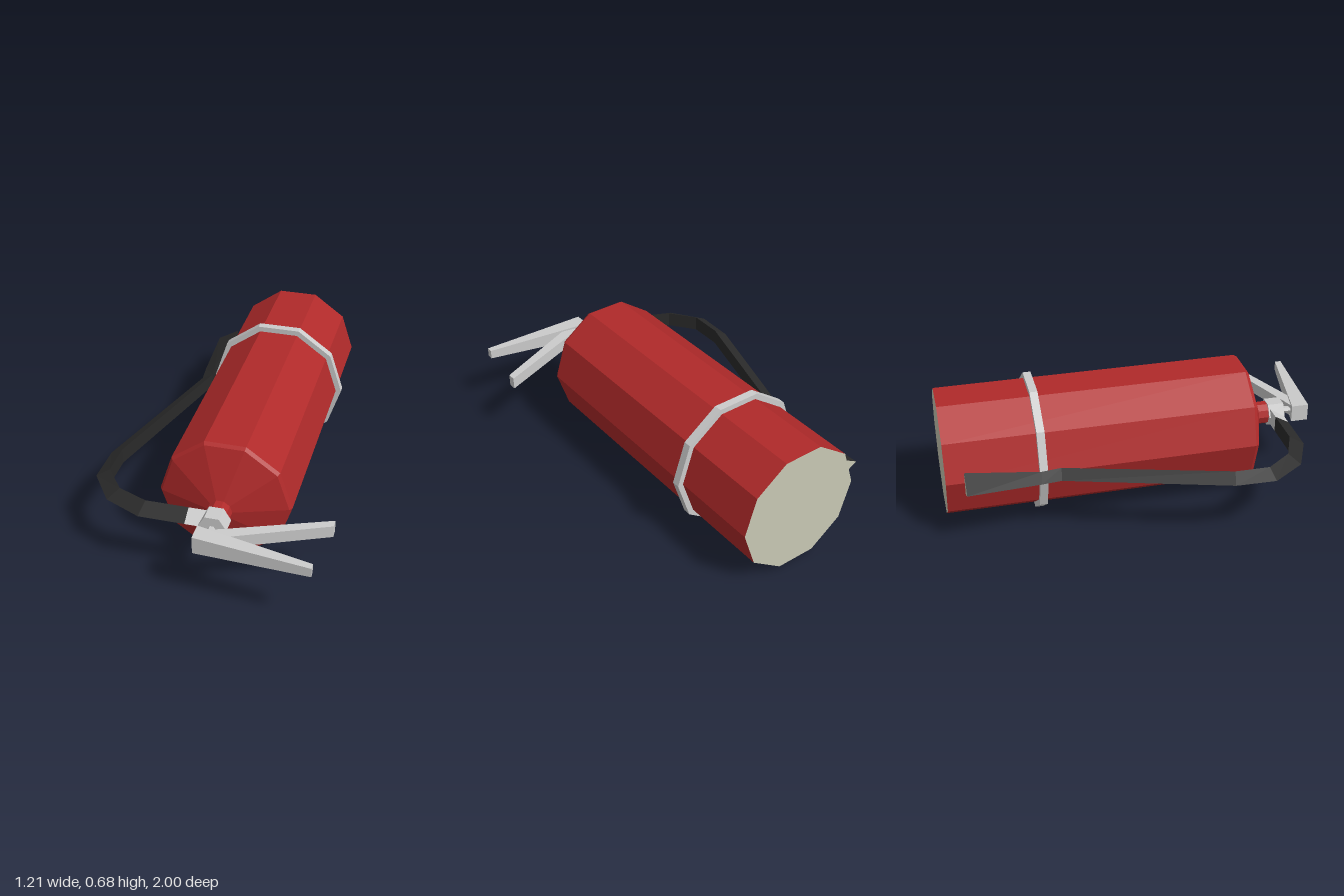
import * as THREE from 'three';

const AXIS_X = 0.055, AXIS_Y = 0.338;

const paint = (color) => new THREE.MeshStandardMaterial({ color, flatShading: true });

function addMesh(parent, name, geometry, material) {
  const mesh = new THREE.Mesh(geometry, material);
  mesh.name = name;
  parent.add(mesh);
  return mesh;
}

// Faceted surface of revolution about the bottle axis; profile is [radius, z]
function turned(profile, sides) {
  const points = profile.map(([r, z]) => new THREE.Vector2(r, z));
  return new THREE.LatheGeometry(points, sides, Math.PI / 2)
    .rotateX(Math.PI / 2)
    .translate(AXIS_X, AXIS_Y, 0);
}

// Skin over cross-sections whose corners run counter-clockwise about the path
function loft(rings, capStart = true, capEnd = true) {
  const n = rings[0].length, index = [];
  for (let i = 0; i < rings.length - 1; i++) {
    for (let j = 0; j < n; j++) {
      const k = (j + 1) % n;
      const a = i * n + j, b = i * n + k;
      index.push(a, b, a + n, b, b + n, a + n);
    }
  }
  const last = (rings.length - 1) * n;
  for (let j = 1; j < n - 1; j++) {
    if (capStart) index.push(0, j + 1, j);
    if (capEnd) index.push(last, last + j, last + j + 1);
  }
  const geometry = new THREE.BufferGeometry();
  geometry.setAttribute('position', new THREE.Float32BufferAttribute(rings.flat(2), 3));
  geometry.setIndex(index);
  const flat = geometry.toNonIndexed();
  flat.computeVertexNormals();
  return flat;
}

// Triangular hose section: ridge on the outer side, flat on the inner side
const hoseRing = ([ox, oz, ix, iz, h]) => [
  [ox, AXIS_Y, oz], [ix, AXIS_Y - h, iz], [ix, AXIS_Y + h, iz],
];

// Rectangular lever section at x, spanning z0 to z1
const leverRing = ([x, z0, z1, h]) => [
  [x, AXIS_Y - h, z0], [x, AXIS_Y + h, z0], [x, AXIS_Y + h, z1], [x, AXIS_Y - h, z1],
];

export function createModel() {
  const group = new THREE.Group();
  group.name = 'fireExtinguisher';
  const red = paint(0xb02a2a), black = paint(0x2a2a2a), grey = paint(0xcccccc);
  const beige = paint(0xc8c8b4);

  // Bottle with bevelled shoulder, cone and neck
  addMesh(group, 'bottle', turned([
    [0.326, -1], [0.326, 0.57], [0.314, 0.588], [0.06, 0.675], [0.06, 0.735],
  ], 10), red);
  addMesh(group, 'bottleBase', new THREE.CircleGeometry(0.326, 10)
    .rotateY(Math.PI).translate(AXIS_X, AXIS_Y, -1), beige);

  // Strap round the bottle
  addMesh(group, 'strap', turned([
    [0.32, -0.545], [0.355, -0.545], [0.355, -0.505], [0.32, -0.505],
  ], 10), grey);

  // Valve block and stem
  addMesh(group, 'valve', turned([
    [0, 0.73], [0.07, 0.73], [0.07, 0.815], [0, 0.815],
  ], 6), grey);
  addMesh(group, 'valveStem', turned([[0.018, 0.81], [0.018, 0.9]], 6), grey);

  // Hose: outer x, outer z, inner x, inner z, half height
  const joint = [-0.078, 0.812, -0.078, 0.738, 0.042];
  addMesh(group, 'hose', loft([
    [-0.39, -0.91, -0.28, -0.91, 0.063],
    [-0.37, -0.55, -0.312, -0.54, 0.036],
    [-0.36, -0.45, -0.3, -0.44, 0.036],
    [-0.6, 0.355, -0.535, 0.37, 0.04],
    [-0.605, 0.56, -0.537, 0.545, 0.04],
    [-0.49, 0.727, -0.44, 0.675, 0.04],
    [-0.305, 0.812, -0.29, 0.738, 0.042],
    joint,
  ].map(hoseRing), false), black);
  addMesh(group, 'nozzleEnd', new THREE.CircleGeometry(0.073, 3)
    .rotateY(Math.PI).translate(-0.317, AXIS_Y, -0.91), beige);
  addMesh(group, 'hoseConnector', loft([
    joint, [0.01, 0.812, 0.01, 0.738, 0.042],
  ].map(hoseRing)), grey);

  // Levers: x, near z, far z, half height
  addMesh(group, 'squeezeLever', loft([
    [0, 0.86, 0.95, 0.045], [0.56, 0.965, 0.998, 0.024],
  ].map(leverRing)), grey);
  addMesh(group, 'carryHandle', loft([
    [0.04, 0.866, 0.9, 0.031], [0.15, 0.825, 0.888, 0.031], [0.6, 0.65, 0.693, 0.031],
  ].map(leverRing)), grey);

  return group;
}
